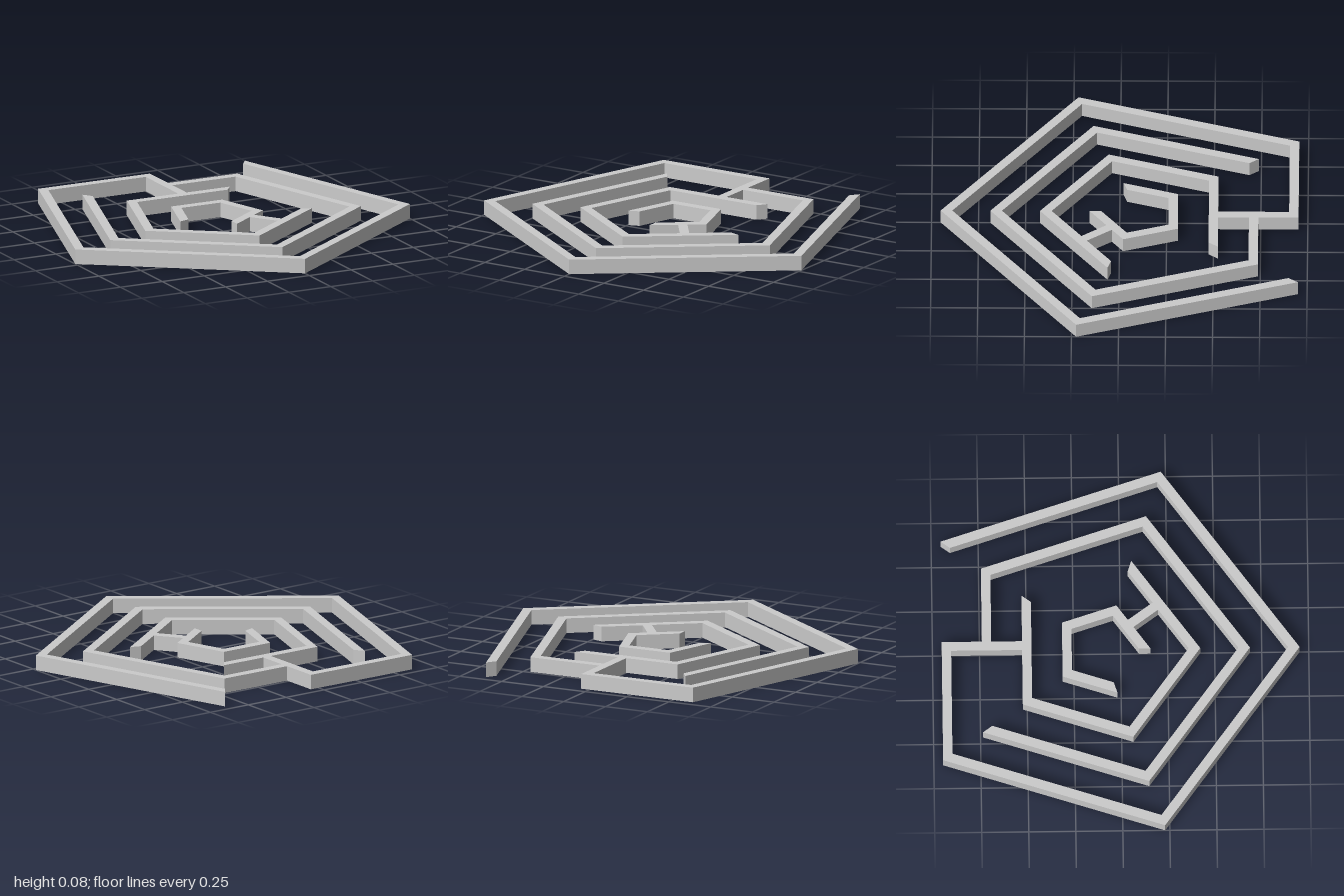
import * as THREE from 'three';

const HEIGHT = 0.08;
const WALL = 0.05;
const CENTRE_Z = -0.1;
const OUTER = 1 / Math.sin(Math.PI * 0.4); // corner radius of the widest ring
const STEP = 0.264; // radius change from ring to ring
const COS36 = Math.cos(Math.PI / 5);
const radius = (ring) => OUTER - STEP * ring;

// Corner k of a pentagon: 0 is at the front, then 1 right, 2 back right, 3 back left, 4 left.
function corner(r, k) {
  const a = (k * Math.PI * 2) / 5;
  return new THREE.Vector2(r * Math.sin(a), -r * Math.cos(a));
}

// Raise a floor-plan outline (x, -z) into a wall.
function raise(name, points) {
  const geometry = new THREE.ExtrudeGeometry(new THREE.Shape(points), { depth: HEIGHT, bevelEnabled: false });
  geometry.rotateX(-Math.PI / 2);
  const mesh = new THREE.Mesh(geometry, new THREE.MeshStandardMaterial({ color: 0xcccccc }));
  mesh.name = name;
  return mesh;
}

// Wall through consecutive corners; headX / tailX add a square-cut end on the back edge.
function ringWall({ name, ring, corners, headX, tailX }) {
  const side = (r) => {
    const pts = corners.map((k) => corner(r, k));
    if (headX !== undefined) pts.unshift(new THREE.Vector2(headX, r * COS36));
    if (tailX !== undefined) pts.push(new THREE.Vector2(tailX, r * COS36));
    return pts;
  };
  const r = radius(ring);
  return raise(name, [...side(r), ...side(r - WALL / COS36).reverse()]);
}

// Straight wall running outwards beside the middle of an edge, turned about the centre.
function spoke(name, from, to, turn) {
  const pts = [[0, from], [WALL, from], [WALL, to], [0, to]].map(([x, y]) =>
    new THREE.Vector2(x, y).rotateAround(new THREE.Vector2(), turn));
  return raise(name, pts);
}

export function createModel() {
  const maze = new THREE.Group();
  maze.name = 'pentagonMaze';

  // Four nested pentagon walls, each with its own opening
  const rings = [
    { name: 'outerWall', ring: 0, corners: [2, 1, 0, 4, 3], tailX: 0 },
    { name: 'secondWall', ring: 1, corners: [2, 1, 0, 4, 3], headX: WALL },
    { name: 'thirdWall', ring: 2, corners: [2, 3, 4, 5, 6] },
    { name: 'innerWall', ring: 3, corners: [4, 3, 2, 1, 0] },
  ];
  for (const spec of rings) maze.add(ringWall(spec));

  // Dividers joining the rings: one at the back, one at the front right
  const apothem = (ring) => radius(ring) * COS36;
  maze.add(spoke('backDivider', apothem(2), apothem(0), 0));
  const frontDivider = spoke('frontDivider', apothem(3), apothem(2) - WALL, 0);
  // Turned to the front-right edge, lying on the side towards the right corner
  frontDivider.geometry.translate(-WALL, 0, 0);
  frontDivider.geometry.rotateY(-Math.PI * 0.8);
  frontDivider.geometry.translate(0, 0, 0);
  maze.add(frontDivider);

  for (const wall of maze.children) wall.position.z = CENTRE_Z;
  return maze;
}
